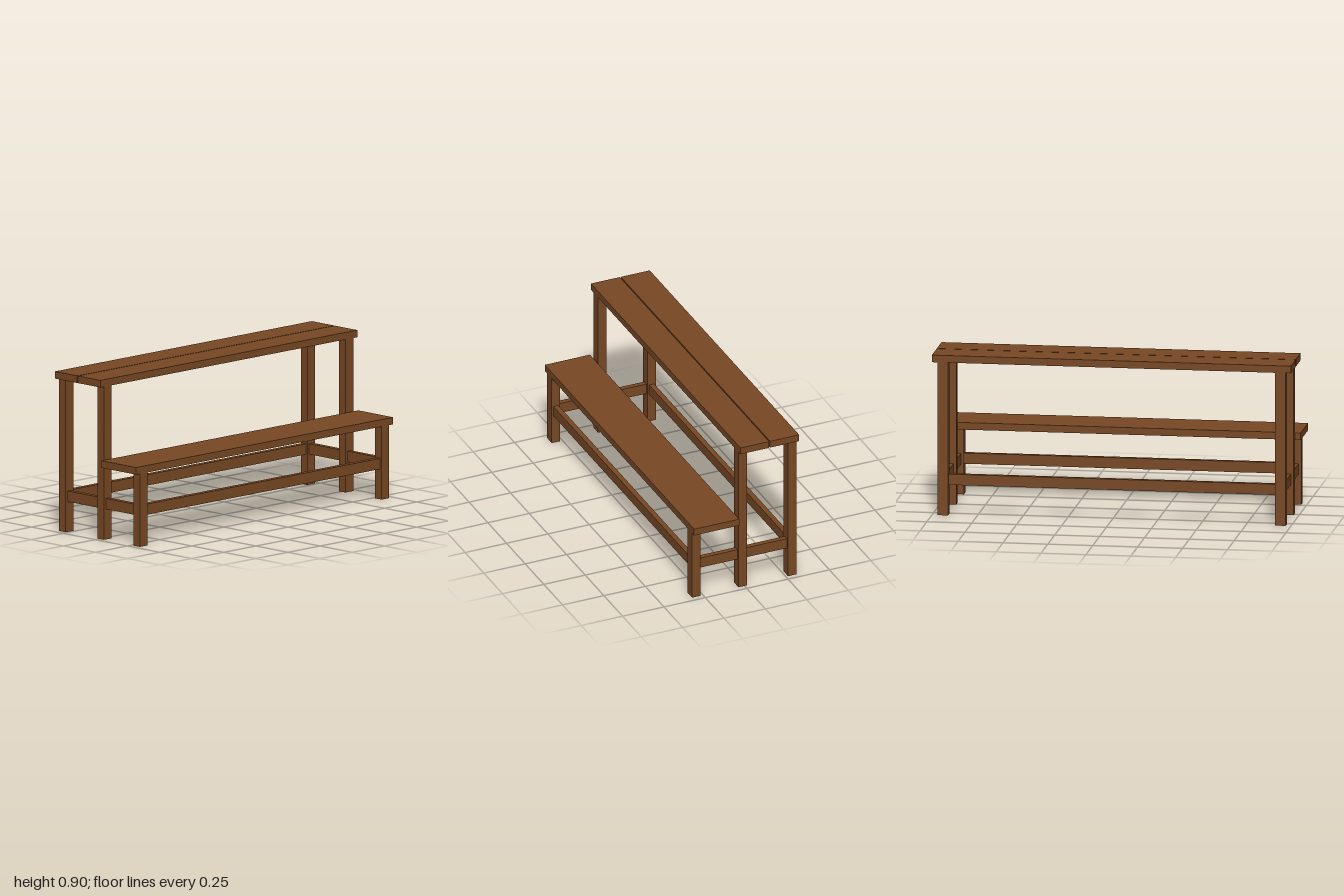
import * as THREE from 'three';

export function createModel() {
  const model = new THREE.Group();
  model.name = 'benchWithTable';
  const wood = new THREE.MeshStandardMaterial({ color: 0x784824 });
  wood.name = 'brown wood';

  // Box given by its [min, max] range on each axis
  function beam(name, [x0, x1], [y0, y1], [z0, z1]) {
    const mesh = new THREE.Mesh(new THREE.BoxGeometry(x1 - x0, y1 - y0, z1 - z0), wood);
    mesh.name = name;
    mesh.position.set((x0 + x1) / 2, (y0 + y1) / 2, (z0 + z1) / 2);
    model.add(mesh);
  }

  const frontZ = [0.266, 0.316], middleZ = [-0.014, 0.036], backZ = [-0.313, -0.263];
  const seatY = 0.41, tableY = 0.86, plank = 0.04;
  const railY = [0.17, 0.23];

  // Seat plank and the two table planks
  beam('seatPlank', [-1, 1], [seatY, seatY + plank], [0.045, 0.317]);
  beam('tableFrontPlank', [-1, 1], [tableY, tableY + plank], [-0.136, 0.038]);
  beam('tableBackPlank', [-1, 1], [tableY, tableY + plank], [-0.317, -0.142]);

  // Legs and side rails, mirrored left and right
  for (const [side, s] of [['left', 1], ['right', -1]]) {
    const span = (a, b) => (s > 0 ? [a, b] : [-b, -a]);
    const legX = span(0.91, 0.97), railX = span(0.925, 0.955);
    beam(side + 'SeatLeg', legX, [0, seatY], frontZ);
    beam(side + 'TableFrontLeg', legX, [0, tableY], middleZ);
    beam(side + 'TableBackLeg', legX, [0, tableY], backZ);
    beam(side + 'FrontSideRail', railX, railY, [middleZ[1], frontZ[0]]);
    beam(side + 'BackSideRail', railX, railY, [backZ[1], middleZ[0]]);
  }

  // Long stretchers centred between the outer legs
  for (const [name, [z0, z1]] of [['frontStretcher', frontZ], ['backStretcher', backZ]]) {
    beam(name, [-0.91, 0.91], railY, [z0 + 0.01, z1 - 0.01]);
  }

  return model;
}
